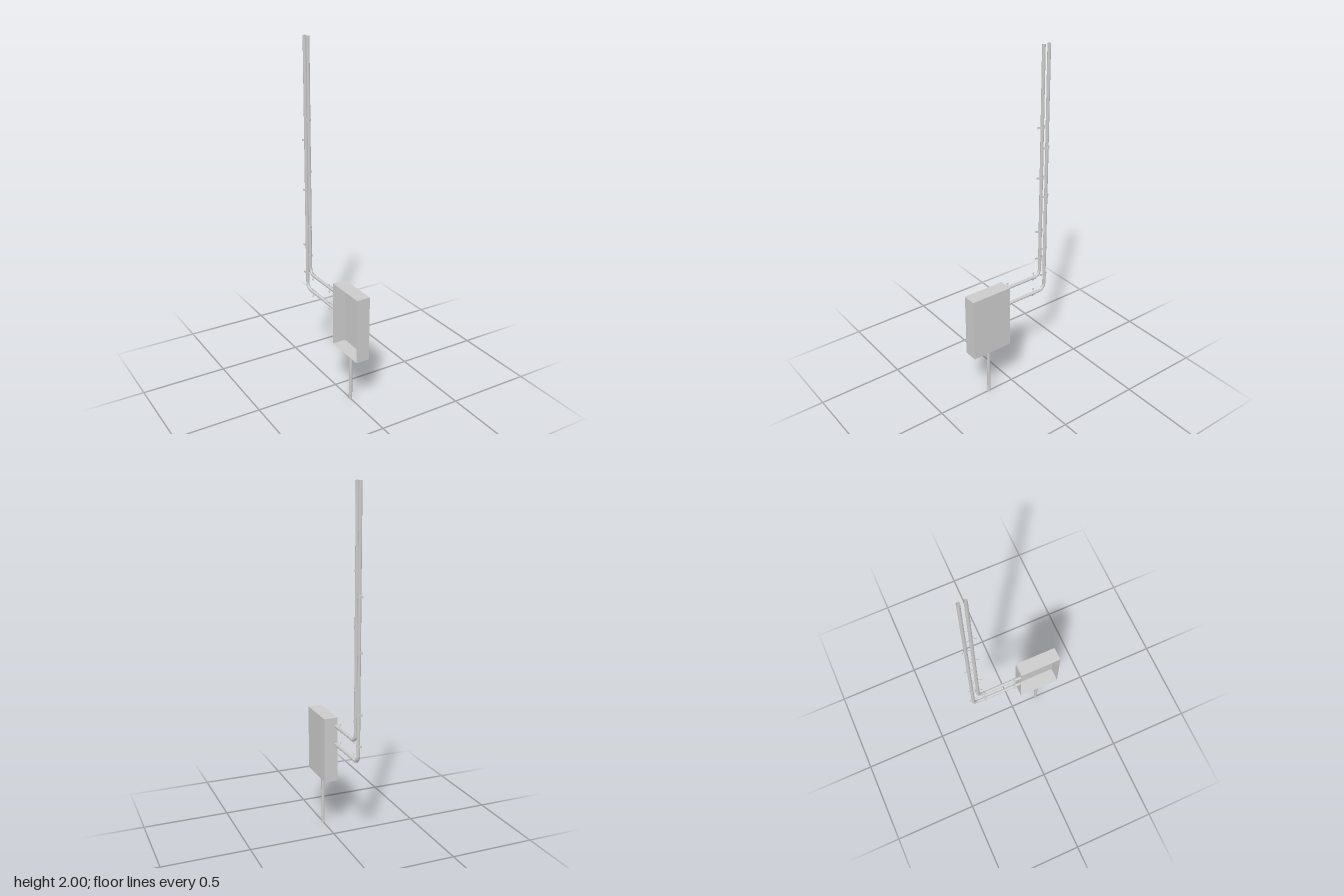
import * as THREE from 'three';

const material = new THREE.MeshStandardMaterial({ color: 0xcccccc, side: THREE.DoubleSide });
const PIPE_X = -0.031, PIPE_R = 0.0095, BEND = 0.04, BOX_BACK = 0.04, TOP = 2;

function addMesh(parent, geometry, name) {
  const mesh = new THREE.Mesh(geometry, material);
  mesh.name = name;
  parent.add(mesh);
  return mesh;
}

// Thin omega-shaped strap: x is outward from the wall, y runs across the pipe, z along it
function strapGeometry() {
  const half = [[-0.008, 0.026], [-0.007, 0.019], [-0.003, 0.0145], [0.004, 0.0115], [0.0095, 0.007]];
  const points = [...half, [0.0118, 0], ...half.map(([x, y]) => [x, -y]).reverse()]
    .map(([x, y]) => new THREE.Vector3(x, y, 0));
  const curve = new THREE.CatmullRomCurve3(points);
  const outer = [], inner = [], n = 28, thickness = 0.0016;
  for (let i = 0; i <= n; i++) {
    const p = curve.getPoint(i / n), t = curve.getTangent(i / n);
    outer.push(new THREE.Vector2(p.x, p.y));
    inner.unshift(new THREE.Vector2(p.x + t.y * thickness, p.y - t.x * thickness));
  }
  const geometry = new THREE.ExtrudeGeometry(new THREE.Shape([...outer, ...inner]), { depth: 0.012, bevelEnabled: false });
  return geometry.translate(0, 0, -0.006);
}

// Pipe leaving the cabinet backwards at height y, then rising at depth z
function addPipe(parent, name, y, z, strapHeights, strap) {
  const pipe = new THREE.Group();
  pipe.name = name;
  parent.add(pipe);
  const v = (py, pz) => new THREE.Vector3(PIPE_X, py, pz);
  const k = BEND * 0.4477;
  const bendStart = v(y, z + BEND), bendEnd = v(y + BEND, z);
  const elbow = new THREE.CubicBezierCurve3(bendStart, v(y, z + k), v(y + k, z), bendEnd);
  const tube = (curve, segments) => new THREE.TubeGeometry(curve, segments, PIPE_R, 12);
  addMesh(pipe, tube(new THREE.LineCurve3(v(y, BOX_BACK), bendStart), 1), 'horizontalPipe');
  addMesh(pipe, tube(elbow, 8), 'elbow');
  addMesh(pipe, tube(new THREE.LineCurve3(bendEnd, v(TOP, z)), 1), 'verticalPipe');

  // Straps on the horizontal run, then on the riser
  for (const sz of [-0.003, -0.19]) {
    addMesh(pipe, strap, 'pipeStrap').position.set(PIPE_X, y, sz);
  }
  for (const sy of strapHeights) {
    const clip = addMesh(pipe, strap, 'pipeStrap');
    clip.position.set(PIPE_X, sy, z);
    clip.rotation.x = Math.PI / 2;
  }
}

export function createModel() {
  const model = new THREE.Group();
  model.name = 'cabinetWithPipes';

  // Thin-walled cabinet, open on the -x side
  const box = new THREE.BoxGeometry(0.08, 0.38, 0.25);
  const index = Array.from(box.index.array);
  index.splice(6, 6);
  box.setIndex(index);
  box.clearGroups();
  addMesh(model, box, 'cabinet').position.set(0, 0.5, 0.165);

  // Support post
  const post = new THREE.CylinderGeometry(0.01, 0.01, 0.31, 12);
  addMesh(model, post, 'post').position.set(0, 0.155, 0.167);

  // Two bent pipes with straps
  const strap = strapGeometry();
  addPipe(model, 'upperPipe', 0.64, -0.23, [0.755, 0.93, 1.262, 1.555], strap);
  addPipe(model, 'lowerPipe', 0.532, -0.265, [0.63, 0.805, 1.14, 1.43], strap);
  return model;
}
